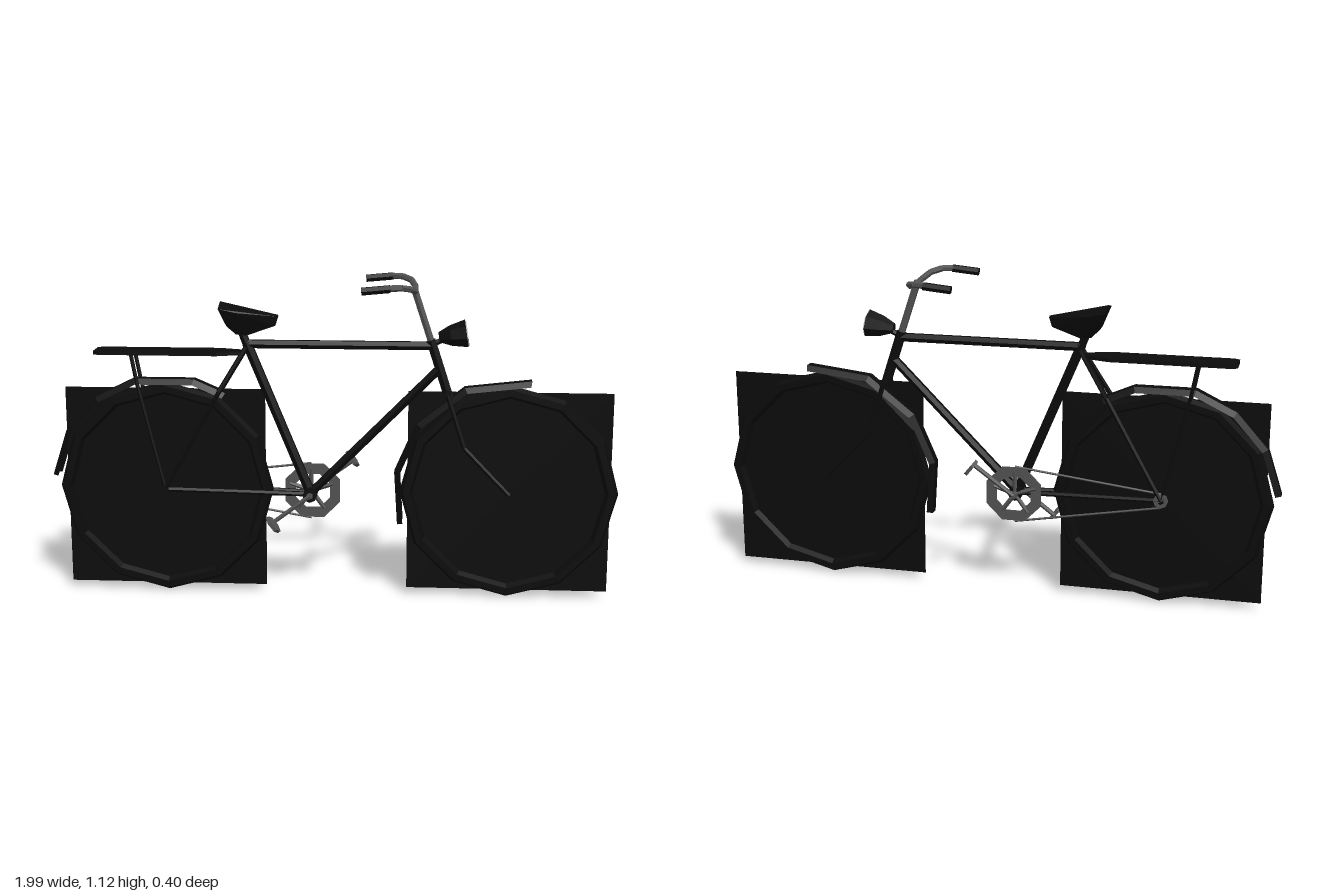
import * as THREE from 'three';
import { ConvexGeometry } from 'three/addons/geometries/ConvexGeometry.js';

const mat = (name, color, extra = {}) => {
  const m = new THREE.MeshStandardMaterial({ color, flatShading: true, ...extra });
  m.name = name;
  return m;
};

export function createModel() {
  const black = mat('black paint', 0x0b0b0b, { side: THREE.DoubleSide });
  const steel = mat('steel', 0x525252, { side: THREE.DoubleSide });
  const glass = mat('lamp glass', 0xc4c4c4);
  const V = (x, y, z = 0) => new THREE.Vector3(x, y, z);
  const bike = new THREE.Group();
  bike.name = 'bicycle';
  bike.position.z = -0.003;

  const add = (name, geometry, material, parent = bike) => {
    const mesh = new THREE.Mesh(geometry, material);
    mesh.name = name;
    parent.add(mesh);
    return mesh;
  };

  // Straight rods joining a list of points
  const rod = (name, points, radius, material, sides = 6, endRadius = radius) => {
    const group = new THREE.Group();
    group.name = name;
    for (let i = 0; i < points.length - 1; i++) {
      const a = points[i], d = points[i + 1].clone().sub(a);
      const mesh = add(name + 'Section', new THREE.CylinderGeometry(endRadius, radius, d.length(), sides), material, group);
      mesh.position.copy(a).addScaledVector(d, 0.5);
      mesh.quaternion.setFromUnitVectors(V(0, 1), d.normalize());
    }
    bike.add(group);
    return group;
  };

  // Mudguard: an arched section swept through angles around a hub
  const mudguard = (name, cx, degrees) => {
    const section = [[0.385, -0.03], [0.405, -0.018], [0.405, 0.018], [0.385, 0.03]];
    const pos = [], index = [];
    degrees.forEach((deg, i) => {
      const a = THREE.MathUtils.degToRad(deg);
      section.forEach(([r, z], j) => {
        pos.push(cx + r * Math.cos(a), 0.385 + r * Math.sin(a), z);
        if (i && j) {
          const k = i * 4 + j;
          index.push(k - 5, k - 4, k, k - 5, k, k - 1);
        }
      });
    });
    const g = new THREE.BufferGeometry();
    g.setAttribute('position', new THREE.Float32BufferAttribute(pos, 3));
    g.setIndex(index);
    g.computeVertexNormals();
    add(name, g, black);
  };

  // Wheels: tyre, square spoke panel and hub
  const rearX = -0.59, frontX = 0.613, hubY = 0.385;
  for (const [name, x] of [['rear', rearX], ['front', frontX]]) {
    add(name + 'Tyre', new THREE.TorusGeometry(0.357, 0.023, 6, 12), black).position.set(x, hubY, 0);
    add(name + 'SpokePanel', new THREE.PlaneGeometry(0.705, 0.712), black).position.set(x, hubY, 0);
    rod(name + 'Hub', [V(x, hubY, -0.042), V(x, hubY, 0.042)], 0.013, black);
  }
  mudguard('rearMudguard', rearX, [58, 75, 105, 127, 150, 174]);
  mudguard('frontMudguard', frontX, [80, 113, 143, 170, 197]);

  // Frame tubes
  const crankX = -0.08, crankY = 0.37;
  rod('seatTube', [V(-0.3, 0.905), V(crankX, crankY)], 0.018, black);
  rod('topTube', [V(-0.3, 0.9), V(0.345, 0.9)], 0.016, black);
  rod('downTube', [V(0.365, 0.82), V(crankX, crankY)], 0.016, black);
  rod('headTube', [V(0.335, 0.92), V(0.4, 0.72)], 0.018, black);
  rod('bottomBracket', [V(crankX, crankY, -0.04), V(crankX, crankY, 0.04)], 0.025, black, 8);
  rod('forkCrown', [V(0.395, 0.735, -0.042), V(0.395, 0.735, 0.042)], 0.013, black);

  // Paired parts on both sides
  for (const s of [-1, 1]) {
    rod('forkBlade', [V(0.395, 0.735, s * 0.038), V(0.455, 0.55, s * 0.04),
      V(0.55, 0.45, s * 0.04), V(frontX, hubY, s * 0.04)], 0.009, black);
    rod('seatStay', [V(-0.3, 0.89, s * 0.015), V(-0.395, 0.735, s * 0.036), V(rearX, hubY, s * 0.036)], 0.009, black);
    rod('chainStay', [V(crankX, crankY, s * 0.015), V(rearX, hubY, s * 0.034)], 0.009, black);
    rod('rackStrut', [V(-0.7, 0.87, s * 0.036), V(-0.68, 0.76, s * 0.036), V(rearX, hubY, s * 0.036)], 0.007, black);
    // Handlebar half and grip
    rod('handlebar', [V(0.28, 1.09, 0), V(0.28, 1.095, s * 0.07), V(0.265, 1.11, s * 0.13),
      V(0.235, 1.118, s * 0.165), V(0.19, 1.118, s * 0.184)], 0.011, steel);
    rod('grip', [V(0.2, 1.117, s * 0.183), V(0.105, 1.108, s * 0.184)], 0.014, black);
  }
  rod('stem', [V(0.338, 0.91), V(0.275, 1.1)], 0.013, steel);

  // Luggage rack
  const rack = new THREE.Shape([[-0.83, -0.04], [-0.81, -0.052], [-0.4, -0.052], [-0.31, -0.02],
    [-0.31, 0.02], [-0.4, 0.052], [-0.81, 0.052], [-0.83, 0.04]].map(p => new THREE.Vector2(...p)));
  const rackGeometry = new THREE.ExtrudeGeometry(rack, { depth: 0.012, bevelEnabled: false });
  rackGeometry.rotateX(-Math.PI / 2);
  add('luggageRack', rackGeometry, black).position.y = 0.864;

  // Saddle
  const saddle = [V(-0.39, 1.047), V(-0.19, 1.002)];
  for (const s of [-1, 1]) {
    saddle.push(V(-0.388, 1.03, s * 0.075), V(-0.33, 1.015, s * 0.06), V(-0.19, 0.997, s * 0.012),
      V(-0.2, 0.965, s * 0.01), V(-0.365, 0.965, s * 0.032), V(-0.3, 0.93, s * 0.012), V(-0.335, 0.935, s * 0.015));
  }
  add('saddle', new ConvexGeometry(saddle), black);
  rod('seatPost', [V(-0.3, 0.9), V(-0.317, 0.945)], 0.015, black);

  // Headlamp: seven-sided cone with a pale lens
  const lamp = new THREE.Group();
  lamp.name = 'headlamp';
  lamp.position.set(0.457, 0.944, 0);
  lamp.rotation.z = 0.15;
  bike.add(lamp);
  const shell = new THREE.CylinderGeometry(0.049, 0.036, 0.055, 7).rotateY(-Math.PI / 2).rotateZ(-Math.PI / 2);
  add('lampShell', shell, black, lamp).position.x = -0.0275;
  const back = new THREE.CylinderGeometry(0.036, 0.018, 0.04, 7).rotateY(-Math.PI / 2).rotateZ(-Math.PI / 2);
  add('lampBack', back, black, lamp).position.x = -0.075;
  const lens = new THREE.CylinderGeometry(0.045, 0.045, 0.004, 7).rotateY(-Math.PI / 2).rotateZ(-Math.PI / 2);
  add('lampLens', lens, glass, lamp).position.x = 0.002;
  rod('lampBracket', [V(0.395, 0.93), V(0.34, 0.905)], 0.01, black);

  // Chainring with five arms
  const chainZ = -0.038;
  const octagon = r => Array.from({ length: 8 }, (_, i) => {
    const a = (i + 0.5) * Math.PI / 4;
    return new THREE.Vector2(r * Math.cos(a), r * Math.sin(a));
  });
  const ring = new THREE.Shape(octagon(0.105));
  ring.holes.push(new THREE.Path(octagon(0.066)));
  add('chainring', new THREE.ExtrudeGeometry(ring, { depth: 0.006, bevelEnabled: false }), steel)
    .position.set(crankX + 0.005, crankY, chainZ - 0.003);
  for (let i = 0; i < 5; i++) {
    const a = Math.PI / 2 + i * Math.PI * 0.4;
    rod('chainringArm', [V(crankX, crankY, chainZ),
      V(crankX + 0.08 * Math.cos(a), crankY + 0.08 * Math.sin(a), chainZ)], 0.008, steel, 4);
  }

  // Chain and rear sprocket
  rod('upperChain', [V(crankX, 0.47, chainZ), V(rearX, 0.41, chainZ)], 0.004, steel, 4);
  rod('lowerChain', [V(crankX, 0.27, chainZ), V(rearX, 0.36, chainZ)], 0.004, steel, 4);
  rod('sprocket', [V(rearX, hubY, chainZ - 0.004), V(rearX, hubY, chainZ + 0.004)], 0.026, steel, 8);

  // Cranks and tilted six-sided pedals
  rod('crankAxle', [V(crankX, crankY, -0.063), V(crankX, crankY, 0.045)], 0.012, steel);
  for (const [z, x, y, pedalZ] of [[0.042, -0.205, 0.275, 0.08], [-0.061, 0.062, 0.473, -0.097]]) {
    rod('crank', [V(crankX, crankY, z), V(x, y, z)], 0.008, steel);
    rod('pedalAxle', [V(x, y, z), V(x, y, pedalZ)], 0.006, steel);
    const pedal = add('pedal', new THREE.CylinderGeometry(0.034, 0.034, 0.012, 6).rotateY(Math.PI / 6), steel);
    pedal.position.set(x, y, pedalZ);
    pedal.rotation.z = -0.9;
  }
  return bike;
}
